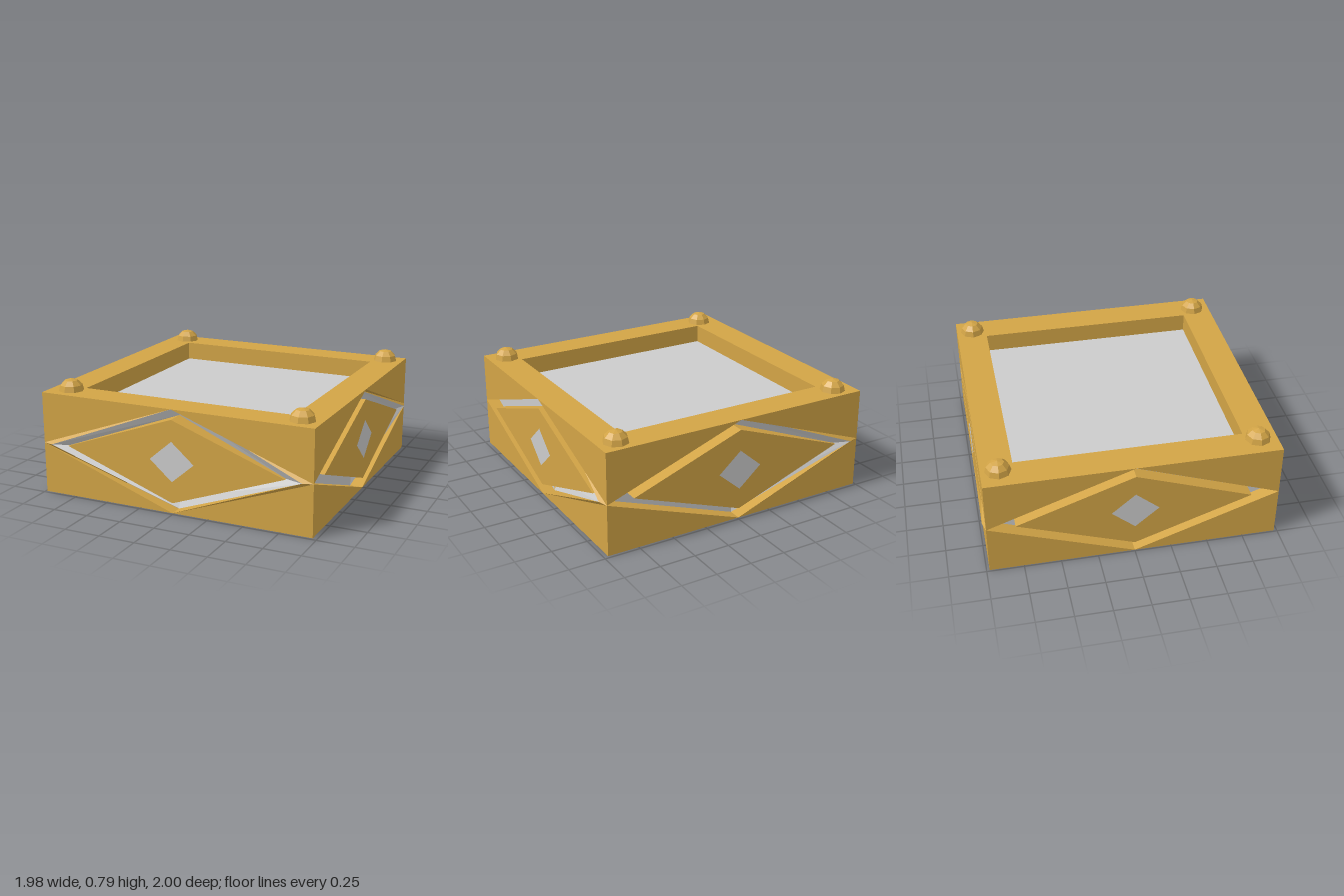
import * as THREE from 'three';

const H = 0.98;              // half width of the block
const Y0 = 0.01, Y1 = 0.72;  // bottom and top
const YM = (Y0 + Y1) / 2;
const CX = -0.01;            // block centre in x

const mat = (color) => new THREE.MeshStandardMaterial({ color, flatShading: true, side: THREE.DoubleSide });
const gold = mat(0xd2a446);
const grey = mat(0xcccccc);

// Mesh from a list of flat polygons (corners counter-clockwise)
function polyMesh(name, polys, material) {
  const pos = [];
  for (const p of polys)
    for (let i = 1; i < p.length - 1; i++) pos.push(...p[0], ...p[i], ...p[i + 1]);
  const g = new THREE.BufferGeometry();
  g.setAttribute('position', new THREE.Float32BufferAttribute(pos, 3));
  g.computeVertexNormals();
  const m = new THREE.Mesh(g, material);
  m.name = name;
  return m;
}

// One side of the block, facing +z; a raised end lifts the groove floor out at that tip
function createSide(name, leftRaised, rightRaised) {
  const side = new THREE.Group();
  side.name = name;
  const face = [], walls = [], floors = [];
  for (const [sx, raised] of [[-1, leftRaised], [1, rightRaised]]) {
    for (const sy of [-1, 1]) {
      const pt = (x, y, z) => [sx * x, YM + sy * y, H + z];
      const add = (list, ...p) => list.push(sx * sy > 0 ? p : p.reverse());
      const half = YM - Y0;
      const rimTip = pt(H, 0, 0), rimTop = pt(0, half, 0);
      const panelTip = pt(0.79, 0, 0), panelTop = pt(0, 0.285, 0);
      const outTip = raised ? pt(0.91, 0, 0.02) : pt(H, 0, -0.09);
      const outTop = pt(0, half, -0.09);
      const inTip = pt(0.79, 0, raised ? -0.02 : -0.09);
      const inTop = pt(0, 0.285, raised ? -0.12 : -0.09);
      add(face, rimTip, pt(H, half, 0), rimTop);
      add(face, pt(0, 0, 0), panelTip, panelTop);
      add(walls, rimTip, rimTop, outTop, outTip);
      add(walls, inTip, inTop, panelTop, panelTip);
      add(floors, inTip, outTip, outTop, inTop);
    }
  }
  side.add(polyMesh('sideFace', face, gold));
  side.add(polyMesh('grooveWalls', walls, gold));
  side.add(polyMesh('grooveFloor', floors, grey));

  // small diamond inlay in the middle of the panel
  const z = H + 0.002;
  side.add(polyMesh('diamondInlay', [[
    [-0.16, YM, z], [0, YM - 0.138, z], [0.16, YM, z], [0, YM + 0.138, z],
  ]], grey));
  return side;
}

export function createModel() {
  const model = new THREE.Group();
  model.name = 'block';
  const body = new THREE.Group();
  body.name = 'body';
  body.position.x = CX;
  model.add(body);

  // four sides
  const sides = [
    ['frontSide', true, true],
    ['leftSide', false, true],
    ['backSide', false, true],
    ['rightSide', false, false],
  ];
  sides.forEach(([name, l, r], i) => {
    const s = createSide(name, l, r);
    s.rotation.y = i * Math.PI / 2;
    body.add(s);
  });

  // top rim, recess walls, recess floor and underside
  const ring = (r, y) => [[-r, y, r], [r, y, r], [r, y, -r], [-r, y, -r]];
  const R = 0.765, YF = 0.59;
  const outer = ring(H, Y1), inner = ring(R, Y1), low = ring(R, YF);
  const rim = [], recess = [];
  for (let i = 0; i < 4; i++) {
    const j = (i + 1) % 4;
    rim.push([outer[i], outer[j], inner[j], inner[i]]);
    recess.push([inner[i], inner[j], low[j], low[i]]);
  }
  body.add(polyMesh('topRim', rim, gold));
  body.add(polyMesh('recessWalls', recess, gold));
  body.add(polyMesh('recessFloor', [low], grey));
  body.add(polyMesh('underside', [ring(H, Y0).reverse()], gold));

  // domed studs on the corners of the rim
  const dome = new THREE.SphereGeometry(0.088, 8, 3, 0, Math.PI * 2, 0, Math.PI / 2);
  for (const x of [-0.84, 0.84])
    for (const z of [-0.865, 0.85]) {
      const stud = new THREE.Mesh(dome, gold);
      stud.name = 'cornerStud';
      stud.position.set(x, Y1 - 0.005, z);
      model.add(stud);
    }
  return model;
}
